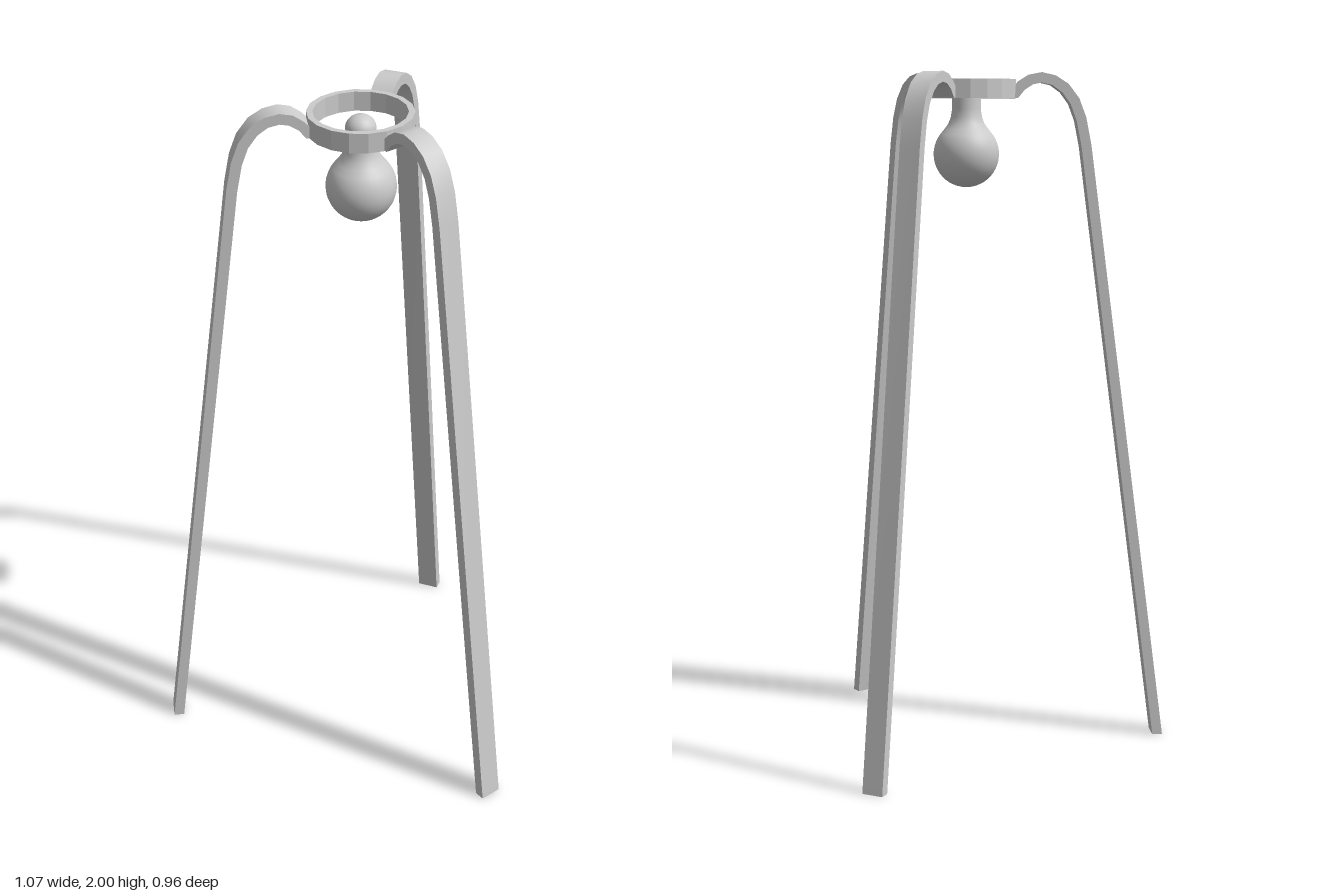
import * as THREE from 'three';
import { toCreasedNormals } from 'three/addons/utils/BufferGeometryUtils.js';

const points = (list) => list.map(([x, y]) => new THREE.Vector2(x, y));

export function createModel() {
  const group = new THREE.Group();
  group.name = 'tripodLamp';
  const material = new THREE.MeshStandardMaterial({ color: 0xcccccc });
  const centre = new THREE.Vector3(-0.018, 0, 0.122);
  const firstLeg = THREE.MathUtils.degToRad(93.3);

  function add(name, geometry, angle = 0) {
    const mesh = new THREE.Mesh(geometry, material);
    mesh.name = name;
    mesh.position.copy(centre);
    mesh.rotation.y = angle;
    group.add(mesh);
  }

  // Leg: a flat strap, arched at the top and straight down to the floor
  const outer = [[0.135, 1.955], [0.155, 1.975], [0.182, 1.993], [0.217, 2], [0.257, 1.991],
    [0.295, 1.967], [0.327, 1.925], [0.348, 1.87], [0.364, 1.79], [0.603, 0]];
  const inner = [[0.573, 0], [0.335, 1.785], [0.32, 1.86], [0.302, 1.908], [0.277, 1.942],
    [0.248, 1.963], [0.217, 1.97], [0.192, 1.965], [0.168, 1.95], [0.148, 1.926], [0.135, 1.926]];
  const width = 0.063;
  const strap = new THREE.ExtrudeGeometry(new THREE.Shape(points([...outer, ...inner])),
    { depth: width, bevelEnabled: false });
  strap.translate(0, 0, -width / 2);
  const legGeometry = toCreasedNormals(strap, 0.6);
  ['backLeg', 'rightLeg', 'leftLeg'].forEach((name, i) =>
    add(name, legGeometry, firstLeg + (i * Math.PI * 2) / 3));

  // Faceted ring that joins the three legs
  const sides = 18;
  const ring = new THREE.LatheGeometry(points([[0.144, 1.925], [0.144, 1.98], [0.127, 1.98],
    [0.127, 1.925], [0.144, 1.925]]), sides);
  add('ring', toCreasedNormals(ring, 0.2), firstLeg + Math.PI / 2 + Math.PI / sides);

  // Bulb: sphere flowing into a neck with a domed cap
  const profile = [];
  for (let i = 0; i <= 16; i++) {
    const a = -Math.PI / 2 + (i / 16) * 2.2;
    profile.push([Math.max(0, Math.cos(a) * 0.096), 1.764 + Math.sin(a) * 0.096]);
  }
  profile.push([0.064, 1.837], [0.053, 1.852], [0.046, 1.87], [0.042, 1.895]);
  for (let i = 0; i <= 6; i++) {
    const a = (i / 6) * Math.PI / 2;
    profile.push([i === 6 ? 0 : Math.cos(a) * 0.042, 1.932 + Math.sin(a) * 0.038]);
  }
  add('bulb', new THREE.LatheGeometry(points(profile), 32));

  return group;
}
